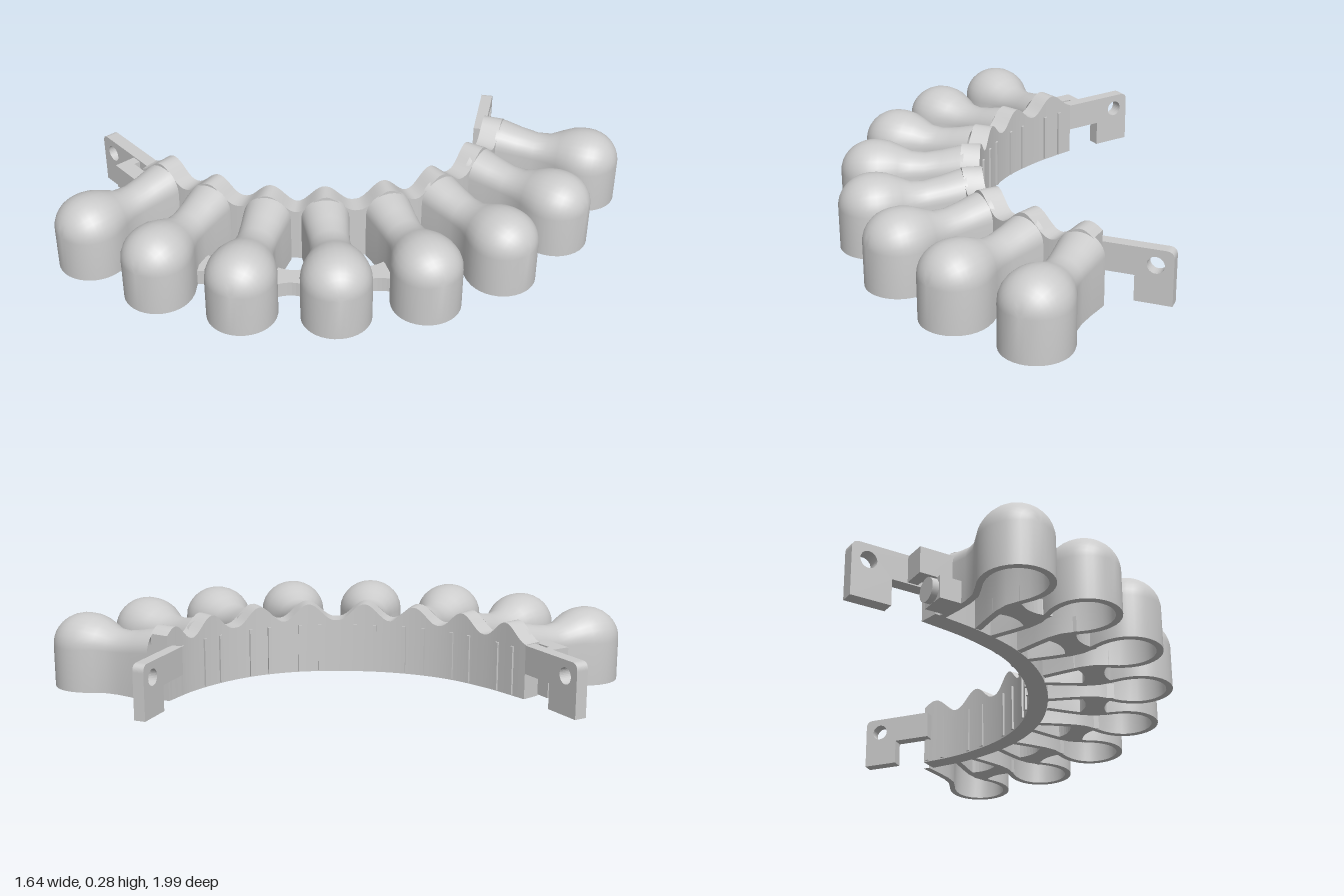
import * as THREE from 'three';
import { toCreasedNormals } from 'three/addons/utils/BufferGeometryUtils.js';

const material = new THREE.MeshStandardMaterial({ color: 0xcccccc });

// Each runner: wall end (x, z) and bulb centre (x, z)
const RUNNERS = [
  [0.245, -0.70, 0.53, -0.87], [0.325, -0.48, 0.655, -0.56],
  [0.36, -0.235, 0.69, -0.23], [0.315, -0.01, 0.625, 0.095],
  [0.19, 0.20, 0.467, 0.39], [0.04, 0.365, 0.23, 0.635],
  [-0.17, 0.48, -0.065, 0.79], [-0.40, 0.535, -0.388, 0.865],
];
const BULB = 0.13, SHELL = 0.025, THICK = 0.075;

// Joins closed rings of points into a surface
function loft(rings, capped) {
  const n = rings[0].length, pos = rings.flat(2), idx = [];
  for (let j = 0; j < rings.length - 1; j++) {
    for (let i = 0; i < n; i++) {
      const a = j * n + i, b = j * n + (i + 1) % n;
      idx.push(a, b, a + n, b, b + n, a + n);
    }
  }
  if (capped) {
    const e = (rings.length - 1) * n;
    for (let i = 1; i < n - 1; i++) idx.push(0, i + 1, i, e, e + i, e + i + 1);
  }
  const g = new THREE.BufferGeometry();
  g.setAttribute('position', new THREE.Float32BufferAttribute(pos, 3));
  g.setIndex(idx);
  return toCreasedNormals(g, 0.7);
}

function add(parent, geometry, name, x = 0, y = 0, z = 0, ry = 0) {
  const m = new THREE.Mesh(geometry, material);
  m.name = name;
  m.position.set(x, y, z);
  m.rotation.y = ry;
  parent.add(m);
  return m;
}

// Arch section: straight sides up to a rounded top
function arch(w, side, dome, z) {
  const pts = [[w, 0, z]];
  for (let i = 0; i <= 14; i++) {
    const a = Math.PI * i / 14;
    pts.push([w * Math.cos(a), side + dome * Math.sin(a), z]);
  }
  pts.push([-w, 0, z]);
  return pts;
}

// Hollow runner, open underneath, ending in a domed bulb
function runnerGeometry(length) {
  const rings = [];
  const ring = (w, top, dome, zo, wi, domeI, zi) => {
    const side = top - dome;
    rings.push([...arch(w, side, dome, zo), ...arch(wi, side, domeI, zi).reverse()]);
  };
  // position along the neck, half width, height
  const neck = [[-0.06, 0.09, 0.268], [0, 0.088, 0.265], [0.2, 0.08, 0.248], [0.4, 0.075, 0.236],
    [0.56, 0.08, 0.24], [0.7, 0.1, 0.262], [0.82, 0.119, 0.278], [0.92, 0.128, 0.284]];
  for (const [s, w, top] of neck) {
    const z = s * length, dome = w * 0.92;
    ring(w, top, dome, z, w - SHELL, dome - SHELL, z);
  }
  const D = 0.12, side = 0.285 - D;
  for (let i = 0; i <= 9; i++) {
    const a = Math.PI / 2 * i / 9, c = Math.cos(a), s = Math.sin(a), r = BULB - SHELL;
    ring(BULB * c, side + D * c, D * c, length + BULB * s, r * c, (D - SHELL) * c, length + r * s);
  }
  return loft(rings, false);
}

// Flat end tab with a hook notch and a pin hole; x = 0 is the free end
function tabGeometry(length, leg, depth) {
  const s = new THREE.Shape();
  s.moveTo(0, 0);
  s.lineTo(leg, 0);
  s.lineTo(leg, 0.1);
  s.lineTo(length, 0.1);
  s.lineTo(length, 0.21);
  s.lineTo(0.03, 0.21);
  s.quadraticCurveTo(0, 0.21, 0, 0.18);
  const hole = new THREE.Path();
  hole.absarc(0.065, 0.15, 0.032, 0, Math.PI * 2, true);
  s.holes.push(hole);
  return new THREE.ExtrudeGeometry(s, { depth, bevelEnabled: false, curveSegments: 16 });
}

// Low bar with waisted sides, lying on the base plane
function linkGeometry(length) {
  const h = length / 2, s = new THREE.Shape();
  s.moveTo(-h, -0.065);
  s.quadraticCurveTo(0, -0.01, h, -0.065);
  s.lineTo(h, 0.065);
  s.quadraticCurveTo(0, 0.01, -h, 0.065);
  s.closePath();
  const g = new THREE.ExtrudeGeometry(s, { depth: 0.06, bevelEnabled: false, curveSegments: 10 });
  return g.rotateX(-Math.PI / 2);
}

export function createModel() {
  const model = new THREE.Group();
  model.name = 'curvedRunnerBank';

  // Curved wall whose top rises over every runner
  const inner = new THREE.CatmullRomCurve3([
    [-0.52, 0.465], [-0.315, 0.43], [-0.13, 0.365], [0.03, 0.25], [0.16, 0.095], [0.25, -0.08],
    [0.283, -0.24], [0.272, -0.40], [0.22, -0.565], [0.145, -0.70],
  ].map(([x, z]) => new THREE.Vector3(x, 0, z)));
  const frame = (t) => {
    const p = inner.getPointAt(t), d = inner.getTangentAt(t);
    return { p, nx: -d.z, nz: d.x };
  };
  const rings = [];
  for (let i = 0; i <= 120; i++) {
    const { p, nx, nz } = frame(i / 120);
    const ox = p.x + nx * THICK, oz = p.z + nz * THICK;
    const near = Math.min(...RUNNERS.map(([x, z]) => Math.hypot(x - ox, z - oz)));
    const k = Math.min(near / 0.115, 1);
    const top = 0.212 + 0.034 * (1 + Math.cos(Math.PI * k));
    rings.push([[p.x, 0, p.z], [p.x, top, p.z], [ox, top, oz], [ox, 0, oz]]);
  }
  add(model, loft(rings, true), 'curvedWall');

  // Runners, with a pair of slim ribs behind each on the wall's inner face
  const wallLength = inner.getLength();
  for (const [x, z, bx, bz] of RUNNERS) {
    const dx = bx - x, dz = bz - z;
    add(model, runnerGeometry(Math.hypot(dx, dz)), 'runner', x, 0, z, Math.atan2(dx, dz));
    let best = 0, dist = 9;
    for (let i = 0; i <= 200; i++) {
      const p = inner.getPointAt(i / 200), d = Math.hypot(p.x - x, p.z - z);
      if (d < dist) { dist = d; best = i / 200; }
    }
    for (const side of [-1, 1]) {
      const { p, nx, nz } = frame(THREE.MathUtils.clamp(best + side * 0.04 / wallLength, 0.01, 0.99));
      add(model, new THREE.BoxGeometry(0.014, 0.19, 0.016), 'wallRib', p.x, 0.1, p.z, Math.atan2(nx, nz));
    }
  }

  // Links between neighbouring runner necks
  const mid = ([x, z, bx, bz]) => [x + (bx - x) * 0.56, z + (bz - z) * 0.56];
  for (let i = 0; i < RUNNERS.length - 1; i++) {
    const [ax, az] = mid(RUNNERS[i]), [bx, bz] = mid(RUNNERS[i + 1]);
    const length = Math.hypot(bx - ax, bz - az) - 0.13;
    add(model, linkGeometry(length), 'neckLink', (ax + bx) / 2, 0, (az + bz) / 2,
      Math.atan2(-(bz - az), bx - ax));
  }

  // End tabs
  add(model, tabGeometry(0.33, 0.155, 0.05), 'rightEndTab', -0.82, 0, 0.465);
  add(model, tabGeometry(0.29, 0.14, 0.045), 'backEndTab', -0.01, 0, -0.905, Math.atan2(-0.205, 0.155) + Math.PI * 2)
    .translateZ(0);

  // Small latch beside the last runner
  const latch = new THREE.Group();
  latch.name = 'sideLatch';
  add(latch, new THREE.BoxGeometry(0.09, 0.085, 0.1), 'latchBlock', -0.51, 0.0425, 0.6);
  add(latch, new THREE.CylinderGeometry(0.045, 0.045, 0.06, 16).rotateZ(Math.PI / 2), 'latchStub', -0.55, 0.045, 0.6);
  add(latch, new THREE.BoxGeometry(0.04, 0.1, 0.09), 'latchHook', -0.585, 0.155, 0.555);
  add(latch, new THREE.BoxGeometry(0.1, 0.1, 0.06), 'latchBridge', -0.52, 0.155, 0.57);
  model.add(latch);
  return model;
}
